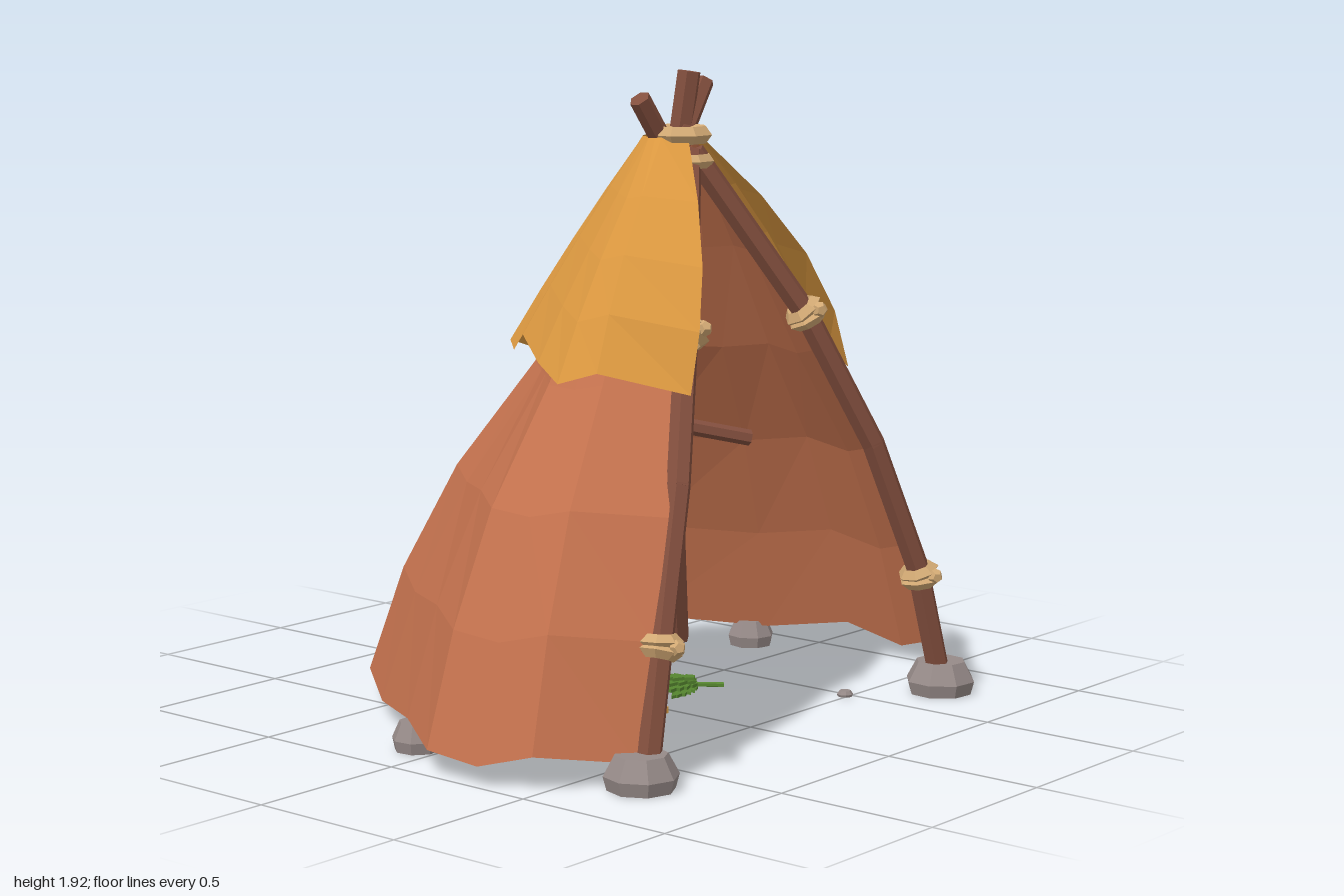
import * as THREE from 'three';

const mat = (name, color, side = THREE.FrontSide) => {
  const m = new THREE.MeshStandardMaterial({ color, flatShading: true, side });
  m.name = name;
  return m;
};
const V = (x, y, z) => new THREE.Vector3(x, y, z);
const UP = V(0, 1, 0);
const { clamp, lerp } = THREE.MathUtils;

export function createModel() {
  const hide = mat('hide', 0xc4724e, THREE.DoubleSide);
  const straw = mat('straw', 0xdb9840, THREE.DoubleSide);
  const wood = mat('wood', 0x834f3e);
  const rope = mat('rope', 0xd2a974);
  const stone = mat('stone', 0x968a88);
  const weaveLight = mat('weaveLight', 0xe0a044);
  const weaveDark = mat('weaveDark', 0xac7832);
  const leafGreen = mat('leafGreen', 0x55852f);

  const root = new THREE.Group();
  const add = (name, geo, material, parent = root) => {
    const m = new THREE.Mesh(geo, material);
    m.name = name;
    parent.add(m);
    return m;
  };
  const group = (name) => {
    const g = new THREE.Group();
    g.name = name;
    root.add(g);
    return g;
  };

  // Draped sheet: each hem point is joined to a small ring at the peak.
  // spread(t, z) gives how far out the sheet is at drop fraction t;
  // the two door edges swell forward to follow the bent door poles.
  function drape(name, hem, topY, rows, spread, material) {
    const pos = [], idx = [], n = hem.length;
    hem.forEach(([x, y, z], i) => {
      const len = Math.hypot(x, z - 0.2);
      const edge = i === 0 || i === n - 1;
      const tx = edge ? Math.sign(x) * 0.03 : (x / len) * 0.09;
      const tz = edge ? 0.28 : 0.2 + ((z - 0.2) / len) * 0.09;
      for (let j = 0; j <= rows; j++) {
        const t = j / rows, f = spread(t, z);
        const fz = edge ? f + 0.16 * Math.sin(Math.PI * t) : f;
        pos.push(tx + (x - tx) * f, topY + (y - topY) * t, tz + (z - tz) * fz);
      }
    });
    for (let i = 0; i < n - 1; i++) for (let j = 0; j < rows; j++) {
      const a = i * (rows + 1) + j, d = a + rows + 1;
      idx.push(a, a + 1, d + 1, a, d + 1, d);
    }
    const g = new THREE.BufferGeometry();
    g.setAttribute('position', new THREE.Float32BufferAttribute(pos, 3));
    g.setIndex(idx);
    g.computeVertexNormals();
    return add(name, g, material);
  }

  // Main hide cover
  const hem = [
    [0.72, 0.07, 0.67], [0.97, 0.08, 0.46], [1.0, 0.04, 0.33], [0.95, 0.1, 0.15], [0.84, 0.07, -0.09],
    [0.64, 0.09, -0.44], [0.42, 0.03, -0.68], [0.2, 0.06, -0.73], [-0.2, 0.02, -0.78], [-0.41, 0.07, -0.67],
    [-0.62, 0.05, -0.41], [-0.83, 0.09, -0.1], [-0.99, 0.07, 0.13], [-1.0, 0.06, 0.33], [-0.94, 0.1, 0.48],
    [-0.72, 0.07, 0.67],
  ];
  const backCurve = [0, 0.18, 0.385, 0.67, 0.87, 1];
  const sideCurve = [0, 0.25, 0.47, 0.72, 0.885, 1];
  drape('hideCover', hem, 1.7, 5, (t, z) => {
    const j = Math.round(t * 5);
    return lerp(backCurve[j], sideCurve[j], clamp((z + 0.3) / 0.4, 0, 1));
  }, hide);

  // Straw upper layer with a ragged hem
  const capHem = [
    [0.37, 1.04, 0.57], [0.525, 1.05, 0.38], [0.54, 1.12, 0.32], [0.54, 1.07, 0.23], [0.475, 1.14, 0.09],
    [0.4, 1.15, 0], [0.32, 1.16, -0.1], [0.24, 1.1, -0.25], [0.1, 1.05, -0.24], [0, 1.04, -0.27],
    [-0.22, 1.11, -0.25], [-0.27, 1.09, -0.19], [-0.33, 1.15, -0.1], [-0.475, 1.1, 0.09], [-0.55, 1.06, 0.23],
    [-0.53, 1.1, 0.36], [-0.37, 1.04, 0.57],
  ];
  drape('strawCap', capHem, 1.73, 4,
    (t, z) => t + (0.1 + 0.4 * clamp(z / 0.57, 0, 1)) * t * (1 - t), straw);

  // Bent poles made of straight hexagonal lengths
  function pole(name, pts, r) {
    const g = group(name);
    for (let i = 0; i < pts.length - 1; i++) {
      const a = V(...pts[i]), b = V(...pts[i + 1]), d = b.clone().sub(a);
      const m = add(name + 'Length', new THREE.CylinderGeometry(r, r, d.length() + 0.01, 6), wood, g);
      m.position.copy(a).add(b).multiplyScalar(0.5);
      m.quaternion.setFromUnitVectors(UP, d.normalize());
    }
  }
  // Rope lashing: two thick rings around an axis and a knot
  function lashing(name, p, dir, r, tube, gap) {
    const g = group(name);
    for (const s of [-1, 1]) {
      const m = add('ropeRing', new THREE.TorusGeometry(r, tube, 4, 7).rotateX(Math.PI / 2), rope, g);
      m.position.y = s * gap;
      m.rotation.z = s * 0.12;
    }
    add('knot', new THREE.DodecahedronGeometry(tube * 1.1), rope, g).position.set(0, 0, r + tube * 0.8);
    g.position.set(...p);
    g.quaternion.setFromUnitVectors(UP, V(...dir).normalize());
  }

  for (const s of [-1, 1]) {
    pole('doorPole', [[s * 0.7, 0.04, 0.69], [s * 0.61, 0.4, 0.665], [s * 0.46, 0.8, 0.6],
      [s * 0.28, 1.2, 0.48], [s * 0.01, 1.68, 0.27]], 0.036);
    lashing('lowerLashing', [s * 0.615, 0.38, 0.665], [-s * 0.25, 1, -0.08], 0.042, 0.022, 0.015);
    lashing('upperLashing', [s * 0.275, 1.2, 0.48], [-s * 0.6, 1, -0.36], 0.042, 0.022, 0.015);
    const tip = s > 0 ? [-0.14, 1.84, 0.19] : [0.15, 1.88, 0.19];
    pole('sidePole', [[s * 0.63, 0.04, -0.29], [s * 0.46, 0.5, -0.17], [s * 0.29, 0.95, 0],
      [s * 0.04, 1.6, 0.2], tip], 0.032);
    pole('crossbar', [[s * 0.44, 0.77, 0.14], [s * 0.22, 0.83, -0.02], [0, 0.84, -0.15]], 0.025);
  }
  pole('backPole', [[-0.07, 0.04, -0.45], [-0.01, 0.83, -0.18], [0.04, 1.6, 0.17], [0.07, 1.91, 0.2]], 0.036);
  lashing('crossbarLashing', [-0.01, 0.83, -0.16], [0.07, 1, 0.4], 0.036, 0.018, 0.012);

  // Rope rings binding the poles at the peak
  for (const [y, z, r, tube] of [[1.735, 0.225, 0.07, 0.027], [1.66, 0.25, 0.062, 0.022]]) {
    const ring = add('peakRope', new THREE.TorusGeometry(r, tube, 5, 8).rotateX(Math.PI / 2), rope);
    ring.position.set(0, y, z);
    ring.rotation.y = Math.PI / 8;
  }

  // Footing stones and pebbles
  function rock(name, x, z, r, h, turn) {
    const profile = [[0, 0], [0.9, 0], [1, 0.4], [0.7, 1], [0, 1]].map(([a, b]) => new THREE.Vector2(a * r, b * h));
    const m = add(name, new THREE.LatheGeometry(profile, 8), stone);
    m.position.set(x, 0, z);
    m.rotation.y = turn;
  }
  rock('doorStone', 0.715, 0.68, 0.108, 0.1, 0.3);
  rock('doorStone', -0.715, 0.68, 0.108, 0.1, 0.1);
  rock('sideStone', 0.84, -0.16, 0.076, 0.085, 0.2);
  rock('sideStone', -0.815, -0.075, 0.076, 0.085, 0.5);
  rock('pebble', 0.48, 0.49, 0.025, 0.018, 0);
  rock('pebble', -0.5, 0.47, 0.027, 0.018, 0.4);

  // Woven mat: crossing strips over a backing
  const mats = group('wovenMat');
  add('matBacking', new THREE.BoxGeometry(0.23, 0.01, 0.4), weaveDark, mats);
  for (let i = 0; i < 5; i++) for (let j = 0; j < 8; j++) {
    const over = (i + j) % 2;
    const m = add('matStrip', new THREE.BoxGeometry(over ? 0.052 : 0.042, 0.02, over ? 0.044 : 0.05),
      over ? weaveLight : weaveDark, mats);
    m.position.set((i - 2) * 0.047, over ? 0.003 : 0, (j - 3.5) * 0.051);
  }
  mats.position.set(-0.17, 0.018, 0.03);
  mats.rotation.y = -0.06;

  // Fan of jagged leaves with a stem
  const leaves = group('leafBundle');
  const blade = new THREE.Shape();
  const notch = (i, s) => {
    const x = i * 0.036 + 0.03, w = s * 0.038 * Math.sin(((i + 1.3) / 6) * Math.PI);
    return s < 0 ? [[x, w], [x, w * 0.5]] : [[x, w * 0.5], [x, w]];
  };
  blade.moveTo(0, -0.015);
  for (let i = 0; i < 5; i++) notch(i, -1).forEach((p) => blade.lineTo(...p));
  blade.lineTo(0.2, 0);
  for (let i = 4; i >= 0; i--) notch(i, 1).forEach((p) => blade.lineTo(...p));
  blade.lineTo(0, 0.015);
  const bladeGeo = new THREE.ExtrudeGeometry(blade, { depth: 0.012, bevelEnabled: false }).rotateX(-Math.PI / 2);
  for (let i = -3; i <= 3; i++) {
    const m = add('leaf', bladeGeo, leafGreen, leaves);
    m.rotation.y = i * 0.38;
    m.position.y = 0.002 + (3 - Math.abs(i)) * 0.009;
    m.scale.setScalar(1 - Math.abs(i) * 0.08);
  }
  const stem = add('stem', new THREE.CylinderGeometry(0.008, 0.008, 0.1, 5).rotateZ(Math.PI / 2), leafGreen, leaves);
  stem.position.set(-0.04, 0.015, 0);
  leaves.position.set(0.23, 0.006, 0.1);
  leaves.rotation.y = 2.2;

  return root;
}
